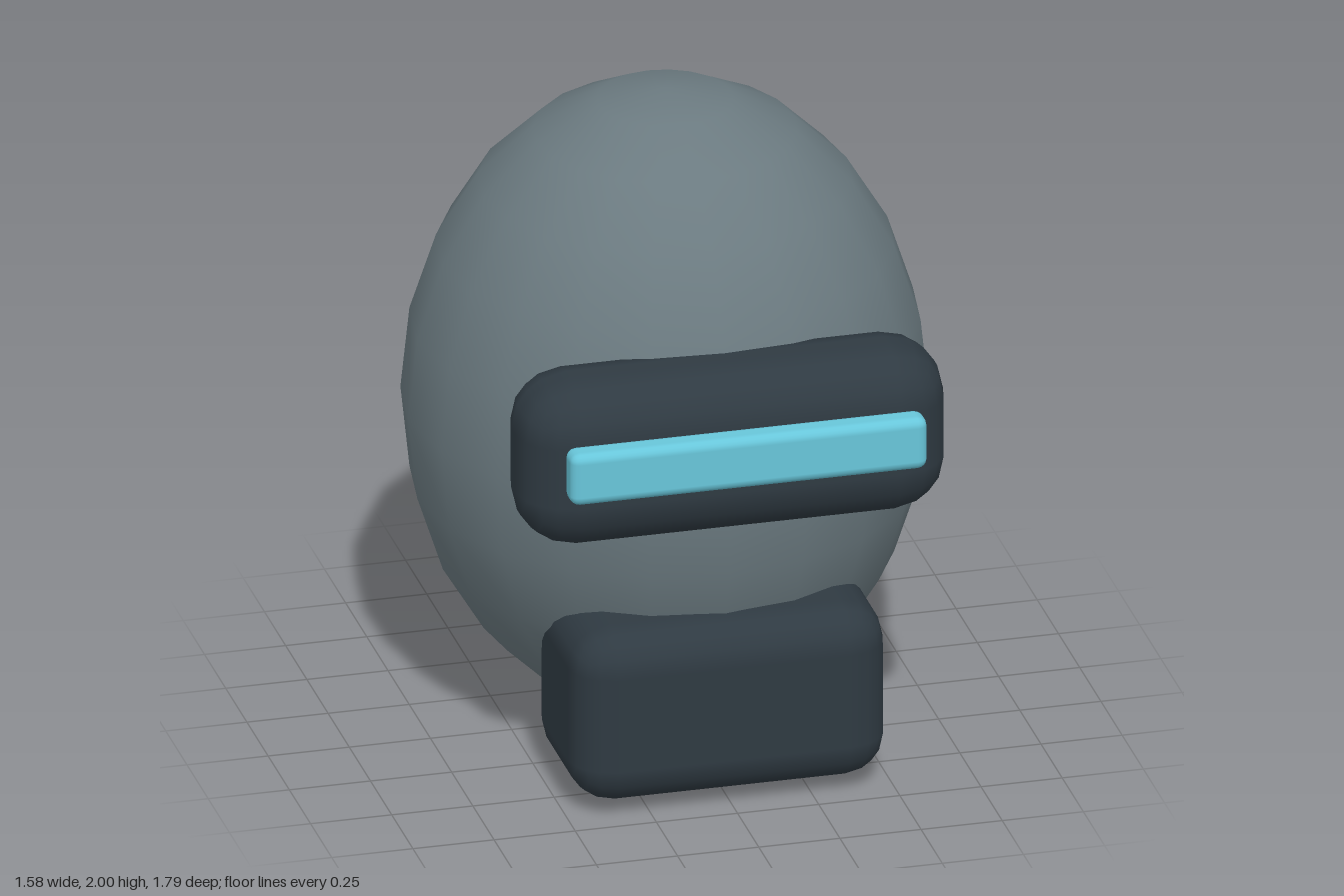
import * as THREE from 'three';
import { RoundedBoxGeometry } from 'three/addons/geometries/RoundedBoxGeometry.js';

const material = (color) => new THREE.MeshStandardMaterial({ color });

function addPart(group, name, geometry, mat, x, y, z) {
  const mesh = new THREE.Mesh(geometry, mat);
  mesh.name = name;
  mesh.position.set(x, y, z);
  group.add(mesh);
  return mesh;
}

export function createModel() {
  const group = new THREE.Group();
  group.name = 'helmet';
  const shellMat = material(0x6b7a80);
  const darkMat = material(0x2f3a42);
  const glowMat = material(0x68c6da);

  // Egg-shaped shell
  const shell = addPart(group, 'shell', new THREE.SphereGeometry(1, 20, 12), shellMat, 0, 1, -0.105);
  shell.scale.set(0.79, 1, 0.79);

  // Visor housing with its light strip
  addPart(group, 'visorHousing', new RoundedBoxGeometry(1.32, 0.53, 0.38, 2, 0.17), darkMat, 0, 1.178, 0.626);
  addPart(group, 'visorStrip', new RoundedBoxGeometry(1.1, 0.168, 0.09, 2, 0.03), glowMat, 0, 1.212, 0.855);

  // Jaw guard
  addPart(group, 'jawGuard', new RoundedBoxGeometry(0.97, 0.56, 0.56, 2, 0.13), darkMat, 0, 0.315, 0.45);

  return group;
}
